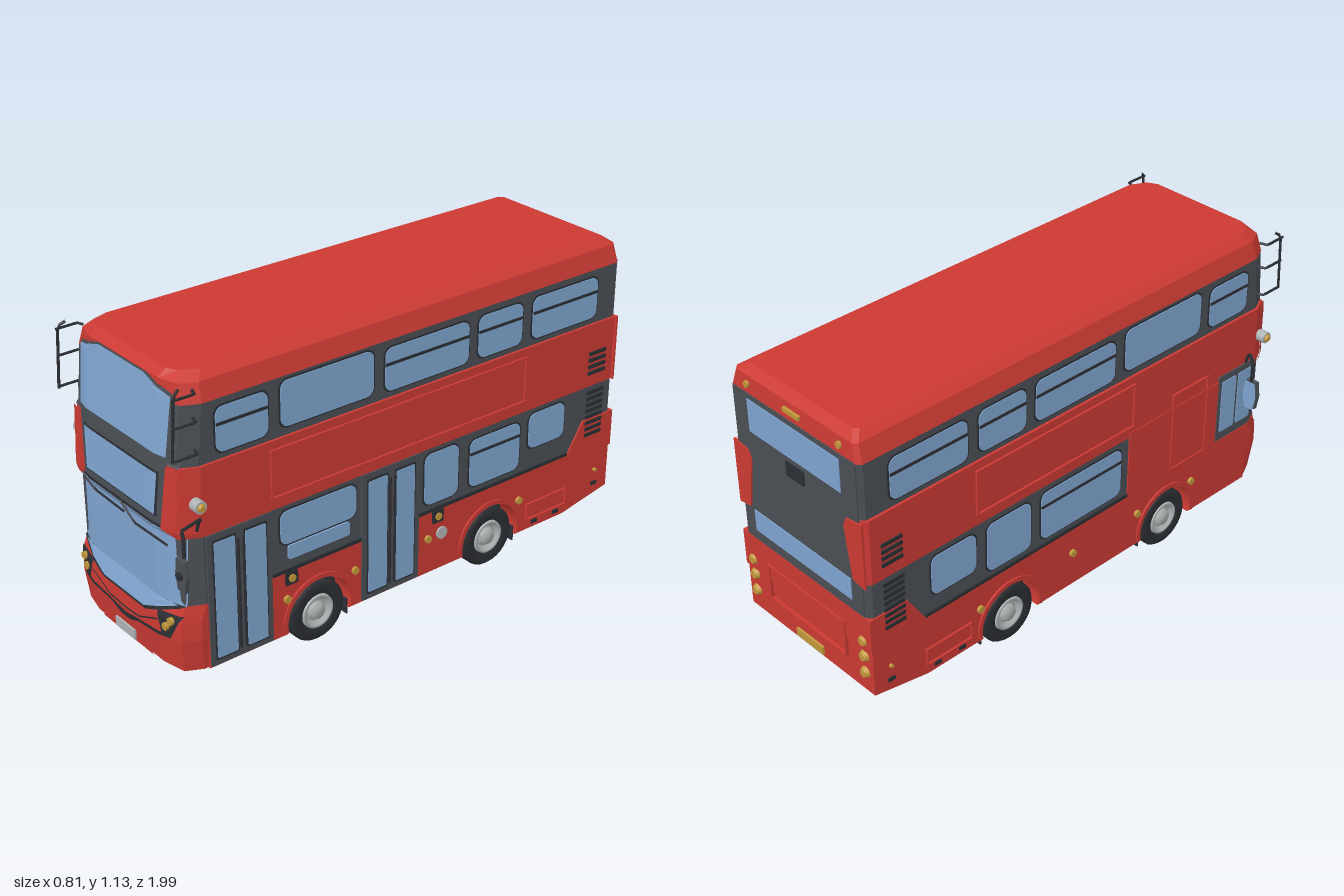
import * as THREE from 'three';

const mat = (name, color) => Object.assign(new THREE.MeshStandardMaterial({ color }), { name });

export function createModel() {
  const red = mat('red paint', 0xcc3a33), grey = mat('dark grey panel', 0x4a4f55), glass = mat('blue glass', 0x80a5d0);
  const black = mat('black trim', 0x2b2e33), silver = mat('light grey metal', 0xb0b4b5), amber = mat('amber lamp', 0xc2983c);
  const bus = new THREE.Group();
  bus.name = 'doubleDeckBus';
  const add = (name, geo, m, x = 0, y = 0, z = 0) => {
    const mesh = new THREE.Mesh(geo, m);
    mesh.name = name;
    mesh.position.set(x, y, z);
    bus.add(mesh);
    return mesh;
  };
  const box = (name, m, w, h, d, x, y, z) => add(name, new THREE.BoxGeometry(w, h, d), m, x, y, z);
  const disc = (name, m, r, len, axis, x, y, z, r2 = r) => {
    const g = new THREE.CylinderGeometry(r2, r, len, 16);
    if (axis === 'x') g.rotateZ(x > 0 ? -Math.PI / 2 : Math.PI / 2); else g.rotateX(z > 0 ? Math.PI / 2 : -Math.PI / 2);
    return add(name, g, m, x, y, z);
  };
  const tube = (name, m, r, pts) => {
    const path = new THREE.CurvePath();
    const v = pts.map(p => new THREE.Vector3(...p));
    for (let i = 1; i < v.length; i++) path.add(new THREE.LineCurve3(v[i - 1], v[i]));
    return add(name, new THREE.TubeGeometry(path, (v.length - 1) * 6, r, 6), m);
  };
  const surface = (pos) => {
    const g = new THREE.BufferGeometry();
    g.setAttribute('position', new THREE.Float32BufferAttribute(pos, 3));
    g.computeVertexNormals();
    return g;
  };

  // Body bands lofted from horizontal outlines: rows of [y, half width, front z, rear z]
  const bands = [
    ['bumper', red, [[0.08, 0.32, 0.955, 0.84], [0.2, 0.33, 0.968, 0.84], [0.27, 0.33, 0.965, 0.84], [0.33, 0.33, 0.945, 0.84]]],
    ['lowerWindowBand', grey, [[0.33, 0.328, 0.945, -0.98], [0.58, 0.328, 0.945, -0.98]]],
    ['middleBand', red, [[0.58, 0.33, 0.945, -0.98], [0.6, 0.33, 0.955, -0.98], [0.83, 0.33, 0.945, -0.98]]],
    ['upperWindowBand', grey, [[0.83, 0.32, 0.945, -0.98], [1.04, 0.32, 0.925, -0.98]]],
    ['roof', red, [[1.04, 0.322, 0.925, -0.982], [1.105, 0.302, 0.918, -0.976], [1.13, 0.27, 0.89, -0.945]]],
  ];
  const ring = ([y, w, f, r]) => {
    const half = [[0.2, f], [w - 0.03, f - 0.02], [w, f - 0.08], [w, r + 0.015], [w - 0.015, r]];
    return [...half, ...half.map(([x, z]) => [-x, z]).reverse()].map(([x, z]) => [x, y, z]);
  };
  for (const [name, m, rows] of bands) {
    const rings = rows.map(ring), pos = [], n = rings[0].length;
    for (let k = 1; k < rings.length; k++) for (let i = 0; i < n; i++) {
      const a = rings[k - 1], b = rings[k], j = (i + 1) % n;
      pos.push(...a[i], ...a[j], ...b[j], ...a[i], ...b[j], ...b[i]);
    }
    const lo = rings[0], hi = rings[rings.length - 1];
    for (let i = 1; i < n - 1; i++) pos.push(...hi[0], ...hi[i], ...hi[i + 1], ...lo[0], ...lo[i + 1], ...lo[i]);
    add(name, surface(pos), m);
  }

  // Thin panels that follow the curved front; corners run bl, br, tr, tl
  const rowsAll = bands.flatMap(b => b[2]);
  const frontZ = (x, y) => {
    let i = 1;
    while (i < rowsAll.length - 1 && rowsAll[i][0] < y) i++;
    const a = rowsAll[i - 1], b = rowsAll[i], t = b[0] > a[0] ? Math.min(1, Math.max(0, (y - a[0]) / (b[0] - a[0]))) : 0;
    const w = a[1] + (b[1] - a[1]) * t, f = a[2] + (b[2] - a[2]) * t, ax = Math.abs(x);
    if (ax < 0.2) return f;
    return ax < w - 0.03 ? f - 0.02 * (ax - 0.2) / (w - 0.23) : f - 0.02 - 2 * (ax - w + 0.03);
  };
  const front = (name, m, quads, off = 0.004, mirror = false) => {
    const pos = [], N = 10;
    const all = mirror ? quads.concat(quads.map(([a, b, c, d]) => [b, a, d, c].map(([x, y]) => [-x, y]))) : quads;
    for (const [a, b, c, d] of all) {
      const p = (u, v) => {
        const [x, y] = [0, 1].map(k => (a[k] * (1 - u) + b[k] * u) * (1 - v) + (d[k] * (1 - u) + c[k] * u) * v);
        return [x, y, frontZ(x, y) + off];
      };
      for (let i = 0; i < N; i++) for (let j = 0; j < N; j++) {
        const [u, U, v, V] = [i / N, (i + 1) / N, j / N, (j + 1) / N];
        pos.push(...p(u, v), ...p(U, v), ...p(U, V), ...p(u, v), ...p(U, V), ...p(u, V));
      }
    }
    return add(name, surface(pos), m);
  };
  const sym = (y0, w0, y1, w1) => [[-w0, y0], [w0, y0], [w1, y1], [-w1, y1]];
  front('upperFrontSurround', grey, [sym(0.83, 0.3, 1.04, 0.265), sym(1.04, 0.265, 1.07, 0.262), sym(1.07, 0.262, 1.104, 0.14)], 0.003);
  front('upperWindscreen', glass, [sym(0.855, 0.25, 1.06, 0.26), sym(1.06, 0.26, 1.1, 0.13)], 0.007);
  front('middleFrontPanel', grey, [sym(0.605, 0.23, 0.84, 0.255)], 0.004);
  front('middleGlassRim', black, [sym(0.633, 0.208, 0.796, 0.222)], 0.006);
  front('middleGlass', glass, [sym(0.64, 0.2, 0.79, 0.214)], 0.009);
  front('windscreenRim', black, [sym(0.255, 0.125, 0.32, 0.285), sym(0.32, 0.285, 0.34, 0.318), sym(0.598, 0.235, 0.61, 0.233)], 0.005);
  front('windscreen', glass, [sym(0.267, 0.12, 0.33, 0.28), sym(0.33, 0.305, 0.58, 0.31), sym(0.58, 0.31, 0.602, 0.235)], 0.008);
  front('frontPillar', red, [[[0.232, 0.602], [0.31, 0.58], [0.325, 0.83], [0.256, 0.83]]], 0.012, true);
  front('headlampSurround', black, [[[0.22, 0.205], [0.258, 0.203], [0.305, 0.297], [0.195, 0.288]],
    [[0.03, 0.162], [0.08, 0.182], [0.08, 0.195], [0.03, 0.185]], [[0.08, 0.182], [0.258, 0.203], [0.22, 0.212], [0.08, 0.195]],
    [[0, 0.16], [0.03, 0.162], [0.03, 0.185], [0, 0.18]]], 0.006, true);
  front('grilleLine', black, [[[0, 0.199], [0.09, 0.205], [0.09, 0.211], [0, 0.205]], [[0.09, 0.205], [0.2, 0.25], [0.2, 0.256], [0.09, 0.211]]], 0.006, true);
  front('bumperCentre', red, [sym(0.085, 0.155, 0.155, 0.11)], 0.009);
  box('frontPlate', silver, 0.116, 0.036, 0.008, 0, 0.117, 0.973);
  for (const s of [1, -1]) for (const [x, y] of [[0.262, 0.27], [0.24, 0.243], [0.232, 0.277]])
    if (x > 0.235) disc('headlamp', amber, 0.014, 0.014, 'z', s * x, y, frontZ(x, y) + 0.008);
  tube('wiper', black, 0.004, [[-0.22, 0.603, 0.965], [-0.155, 0.575, 0.962], [0.025, 0.57, 0.962]]);
  tube('wiper', black, 0.004, [[0.01, 0.603, 0.965], [0.08, 0.556, 0.962], [0.26, 0.55, 0.953]]);

  // Side plates: shapes are drawn in (-z, y) and extruded along x
  const extrudeX = (name, m, shape, depth, xMid, seg = 6) => {
    const g = new THREE.ExtrudeGeometry(shape, { depth, bevelEnabled: false, curveSegments: seg });
    g.translate(0, 0, -depth / 2).rotateY(Math.PI / 2);
    return add(name, g, m, xMid);
  };
  const poly = pts => new THREE.Shape(pts.map(([z, y]) => new THREE.Vector2(-z, y)));
  const rounded = (z0, z1, y0, y1, r) => {
    const a = -Math.max(z0, z1), b = -Math.min(z0, z1), s = new THREE.Shape(), q = Math.PI / 2;
    s.absarc(b - r, y0 + r, r, -q, 0).absarc(b - r, y1 - r, r, 0, q).absarc(a + r, y1 - r, r, q, 2 * q).absarc(a + r, y0 + r, r, 2 * q, 3 * q);
    return s;
  };
  const plate = (name, m, side, z0, z1, y0, y1, r = 0.001, x = 0.33, d = 0.006) =>
    extrudeX(name, m, rounded(z0, z1, y0, y1, r), d, side * (x + d / 2));
  const frame = (name, m, side, z0, z1, y0, y1, t = 0.008) => {
    const s = rounded(z0, z1, y0, y1, 0.002);
    s.holes.push(rounded(z0 - t, z1 + t, y0 + t, y1 - t, 0.002));
    extrudeX(name, m, s, 0.008, side * 0.334);
  };
  const sideWindow = (side, z0, z1, y0, y1, x, bar) => {
    plate('windowRim', black, side, z0 + 0.006, z1 - 0.006, y0 - 0.006, y1 + 0.006, 0.034, x, 0.003);
    plate('sideWindow', glass, side, z0, z1, y0, y1, 0.03, x, 0.006);
    if (bar) plate('windowBar', black, side, z0, z1, bar - 0.005, bar + 0.005, 0.001, x, 0.009);
  };

  // Lower hull: narrow core plus side skirts with wheel arches
  const axles = [0.41, -0.375];
  extrudeX('hullCore', red, poly([[0.86, 0.08], [-0.75, 0.08], [-0.98, 0.125], [-0.98, 0.33], [0.86, 0.33]]), 0.5, 0);
  extrudeX('engineCover', red, poly([[-0.755, 0.325], [-0.9, 0.3], [-0.986, 0.3], [-0.986, 0.445], [-0.83, 0.445]]), 0.668, 0);
  const skirt = new THREE.Shape(), dip = Math.asin(0.035 / 0.135);
  skirt.moveTo(-0.86, 0.33).lineTo(-0.86, 0.08);
  for (const z of axles) skirt.absarc(-z, 0.115, 0.135, Math.PI + dip, -dip, true);
  skirt.lineTo(0.75, 0.08).lineTo(0.98, 0.125).lineTo(0.98, 0.33);
  const lip = new THREE.Shape();
  lip.absarc(0, 0, 0.152, -0.2, Math.PI + 0.2).absarc(0, 0, 0.135, Math.PI + 0.2, -0.2, true);
  const tyre = [[0.06, -0.033], [0.105, -0.033], [0.115, -0.022], [0.115, 0.022], [0.105, 0.033], [0.068, 0.03], [0.064, 0.02]];
  const hub = [[0.066, 0.018], [0.064, 0.032], [0.054, 0.033], [0.044, 0.018], [0.032, 0.02], [0.028, 0.034], [0, 0.036]];
  const v2 = pts => pts.map(p => new THREE.Vector2(...p));
  for (const s of [1, -1]) {
    extrudeX('sideSkirt', red, skirt, 0.08, s * 0.29, 16);
    for (const z of axles) {
      box('wheelWell', black, 0.01, 0.17, 0.27, s * 0.25, 0.165, z);
      extrudeX('archLip', red, lip, 0.008, s * 0.333, 16).position.set(s * 0.333, 0.115, z);
      for (const [name, pts, m] of [['tyre', tyre, black], ['wheelHub', hub, silver]]) {
        const mesh = add(name, new THREE.LatheGeometry(v2(pts), 28), m, s * 0.295, 0.115, z);
        mesh.rotation.z = -s * Math.PI / 2;
      }
      box('mudFlap', black, 0.06, 0.06, 0.006, s * 0.29, 0.08, z - 0.13);
    }
    // Upper deck windows
    for (const [z0, z1, bar] of [[0.8, 0.6, 1], [0.55, 0.17, 0], [0.12, -0.25, 1], [-0.295, -0.5, 1], [-0.55, -0.87, 1]])
      sideWindow(s, z0, z1, bar ? 0.855 : 0.862, bar ? 1.012 : 1.025, 0.32, bar && 0.955);
    // Engine vents
    for (let i = 0; i < 12; i++) {
      const y = i < 8 ? 0.375 + i * 0.025 : 0.63 + (i - 8) * 0.026;
      plate('ventSlat', black, s, -0.84, -0.925, y, y + 0.014, 0.001, 0.332, 0.005);
    }
    // Front corner guard rails
    tube('guardRail', black, 0.005, [[s * 0.335, 0.88, 0.968], [s * 0.335, 1.1, 0.955], [s * 0.325, 1.115, 0.93]]);
    for (const y of [0.885, 0.995, 1.09]) tube('guardRung', black, 0.005, [[s * 0.31, y, 0.87], [s * 0.338, y, 0.88], [s * 0.337, y, 0.965]]);
    // Side lamps and markers
    disc('lampHousing', silver, 0.022, 0.036, 'x', s * 0.345, 0.71, 0.89);
    disc('lampLens', amber, 0.016, 0.012, 'x', s * 0.367, 0.71, 0.89, 0.01);
    for (const [z, y] of [[0.545, 0.222], [0.255, 0.222], [-0.075, 0.222], [-0.515, 0.222], [-0.91, 0.215]])
      disc('sideMarker', amber, y < 0.22 ? 0.007 : 0.014, 0.012, 'x', s * 0.335, y, z);
    for (const [z, y] of [[-0.6, 0.105], [-0.71, 0.105], [-0.91, 0.158]]) plate('catch', black, s, z + 0.014, z - 0.014, y - 0.007, y + 0.007);
    frame('servicePanel', red, s, -0.555, -0.76, 0.12, 0.19, 0.005);
    plate('beltLine', black, s, s > 0 ? 0.6 : 0.2, -0.755, 0.326, 0.338, 0.001, 0.328);
    // Mirrors
    const mz = s > 0 ? 0.97 : 0.805, rz = s > 0 ? 0.885 : 0.82;
    tube('mirrorArm', black, 0.006, [[s * 0.325, 0.61, rz], [s * 0.338, 0.65, rz], [s * 0.35, 0.664, rz], [s * 0.368, 0.66, mz], [s * 0.376, 0.64, mz], [s * 0.376, 0.5, mz]]);
    const head = new THREE.Shape(v2([[-0.02, -0.058], [0.02, -0.058], [0.03, 0], [0.022, 0.058], [-0.022, 0.058], [-0.03, 0]]));
    add('mirrorHead', new THREE.ExtrudeGeometry(head, { depth: 0.016, bevelEnabled: false }), grey, s * 0.376, 0.508, mz);
    add('mirrorGlass', new THREE.ShapeGeometry(head).rotateY(Math.PI), glass, s * 0.376, 0.508, mz - 0.008);
    disc('mirrorPivot', black, 0.014, 0.014, 'z', s * 0.376, 0.508, mz + 0.02);
  }

  // Door side
  for (const [z0, z1] of [[0.857, 0.605], [0.225, -0.03]]) {
    plate('doorFrame', grey, 1, z0, z1, 0.085, 0.58, 0.004, 0.328, 0.007);
    const mid = (z0 + z1) / 2;
    for (const c of [mid + 0.061, mid - 0.061]) {
      plate('doorRim', black, 1, c + 0.046, c - 0.046, 0.105, 0.558, 0.006, 0.33, 0.007);
      plate('doorGlass', glass, 1, c + 0.041, c - 0.041, 0.112, 0.55, 0.006, 0.33, 0.009);
    }
    for (const c of [0.011, -0.011]) tube('doorHandle', black, 0.005, [[0.342, 0.12, mid + c], [0.342, 0.54, mid + c]]);
  }
  sideWindow(1, 0.567, 0.25, 0.435, 0.56, 0.328);
  plate('lowerPane', glass, 1, 0.537, 0.278, 0.372, 0.425, 0.01, 0.328);
  sideWindow(1, -0.055, -0.21, 0.36, 0.56, 0.328);
  sideWindow(1, -0.265, -0.505, 0.36, 0.548, 0.328, 0.495);
  sideWindow(1, -0.55, -0.728, 0.42, 0.56, 0.328);
  frame('sidePanelFrame', red, 1, 0.6, -0.525, 0.62, 0.8);
  for (const z of [0.525, -0.12]) {
    plate('doorButtonPlate', black, 1, z + 0.025, z - 0.025, 0.275, 0.325, 0.004);
    disc('doorButton', amber, 0.014, 0.006, 'x', 0.338, 0.3, z);
  }
  disc('fillerCap', silver, 0.024, 0.008, 'x', 0.333, 0.225, -0.14);

  // Driver side
  sideWindow(-1, 0.16, -0.23, 0.36, 0.555, 0.328, 0.5);
  sideWindow(-1, -0.28, -0.48, 0.36, 0.555, 0.328);
  sideWindow(-1, -0.53, -0.725, 0.4, 0.555, 0.328);
  plate('stairPanel', red, -1, 0.67, 0.2, 0.32, 0.6, 0.002, 0.326, 0.007);
  frame('stairPanelFrame', red, -1, 0.61, 0.42, 0.33, 0.66);
  frame('sidePanelFrame', red, -1, 0.22, -0.525, 0.62, 0.8);
  plate('cabWindowSurround', grey, -1, 0.865, 0.67, 0.345, 0.62, 0.004);
  for (const [z0, z1] of [[0.852, 0.775], [0.763, 0.685]]) plate('cabWindow', glass, -1, z0, z1, 0.375, 0.595, 0.008, 0.33, 0.009);

  // Rear
  box('rearPanel', grey, 0.61, 0.6, 0.008, 0, 0.742, -0.981);
  box('upperRearWindow', glass, 0.46, 0.125, 0.008, 0, 0.96, -0.984);
  box('lowerRearWindow', glass, 0.5, 0.085, 0.008, 0, 0.53, -0.984);
  box('rearLatch', black, 0.09, 0.055, 0.012, 0, 0.85, -0.984);
  for (const s of [1, -1]) {
    const pod = new THREE.Shape(v2([[0.325, 0.57], [0.325, 0.825], [0.25, 0.815], [0.235, 0.78], [0.265, 0.58]].map(([x, y]) => [s * x, y])));
    add('rearCornerPanel', new THREE.ExtrudeGeometry(pod, { depth: 0.008, bevelEnabled: false }), red, 0, 0, -0.99);
    for (const y of [0.34, 0.275, 0.205]) disc('rearLamp', amber, 0.022, 0.014, 'z', s * 0.29, y, -0.988, 0.015);
    disc('rearRoofLamp', amber, 0.012, 0.012, 'z', s * 0.23, 1.075, -0.982);
    box('rearHatchSide', red, 0.008, 0.14, 0.012, s * 0.2, 0.295, -0.986);
  }
  for (const y of [0.225, 0.365]) box('rearHatchEdge', red, 0.408, 0.008, 0.012, 0, y, -0.986);
  box('rearPlate', amber, 0.14, 0.032, 0.01, 0, 0.155, -0.984);
  box('rearRoofLight', amber, 0.08, 0.016, 0.012, 0, 1.075, -0.982);
  return bus;
}
